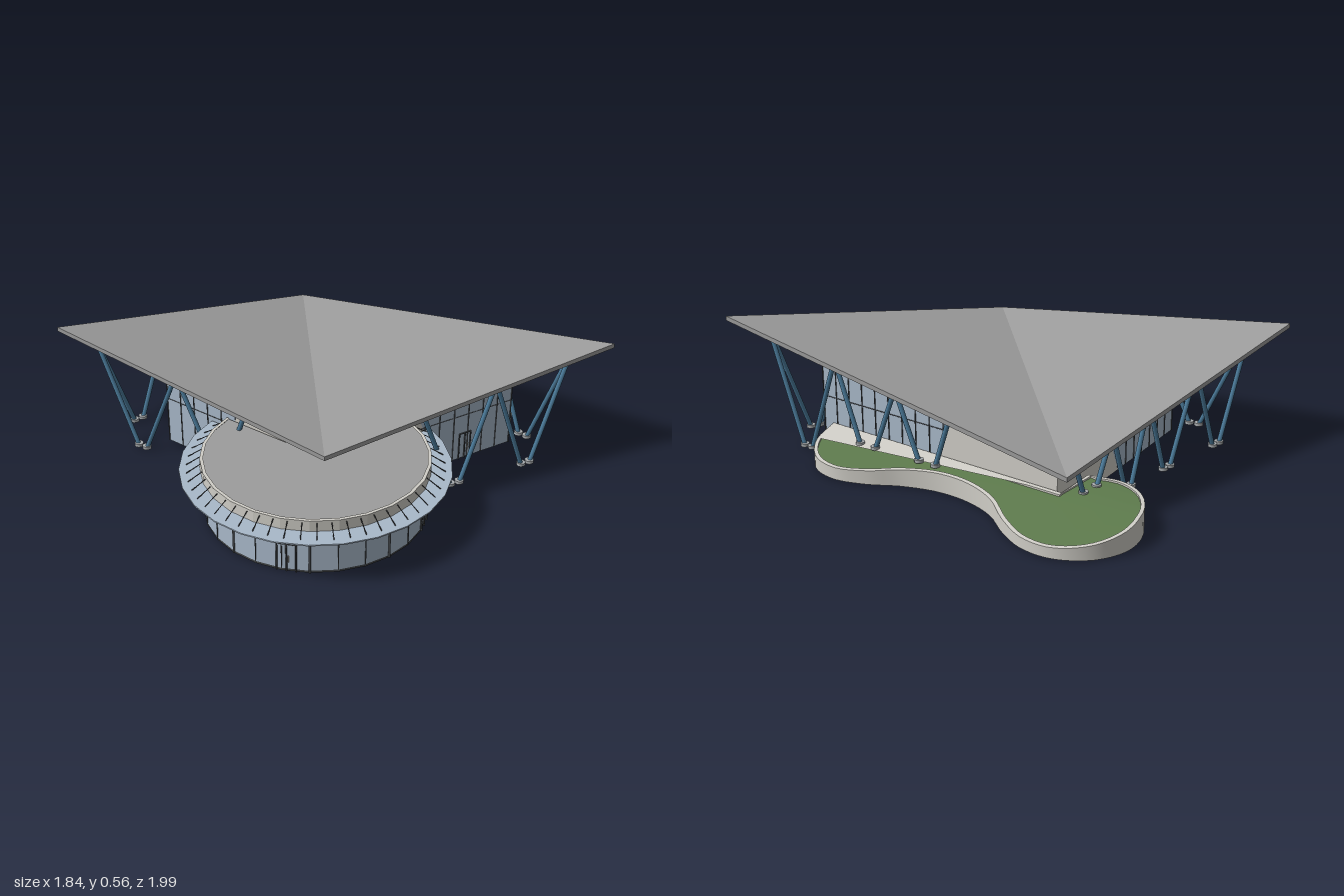
import * as THREE from 'three';
import { toCreasedNormals } from 'three/addons/utils/BufferGeometryUtils.js';

const V = (x, y, z) => new THREE.Vector3(x, y, z);

export function createModel() {
  const model = new THREE.Group();
  const paint = (name, color) => Object.assign(new THREE.MeshStandardMaterial({ color }), { name });
  const roofGrey = paint('roof grey', 0x9d9d9d);
  const wallWhite = paint('wall off-white', 0xd0cec7);
  const glass = paint('glass blue', 0xa9b9ca);
  const steelBlue = paint('steel blue', 0x4c7c9c);
  const frameDark = paint('frame dark', 0x44474a);
  const grass = paint('grass green', 0x5d7a4c);
  const padGrey = paint('pad grey', 0xa9adb0);
  for (const m of [wallWhite, glass, grass]) m.side = THREE.DoubleSide;

  const add = (name, geo, mat, parent = model) => {
    const mesh = new THREE.Mesh(geo, mat);
    mesh.name = name;
    parent.add(mesh);
    return mesh;
  };
  const group = (name) => {
    const g = new THREE.Group();
    g.name = name;
    model.add(g);
    return g;
  };
  // Straight rod from p to q
  const bar = (name, p, q, r, mat, parent, sides = 4) => {
    const d = q.clone().sub(p);
    const mesh = add(name, new THREE.CylinderGeometry(r, r, d.length(), sides), mat, parent);
    mesh.position.copy(p).addScaledVector(d, 0.5);
    mesh.quaternion.setFromUnitVectors(V(0, 1, 0), d.normalize());
    return mesh;
  };
  const polygons = (...faces) => {
    const pos = [];
    for (const f of faces)
      for (let i = 1; i < f.length - 1; i++) for (const p of [f[0], f[i], f[i + 1]]) pos.push(p.x, p.y, p.z);
    const g = new THREE.BufferGeometry();
    g.setAttribute('position', new THREE.Float32BufferAttribute(pos, 3));
    g.computeVertexNormals();
    return g;
  };

  // Folded roof: two triangles meeting on a valley from D to B
  const A = V(-0.64, 0.525, -0.98), B = V(0.74, 0.25, -0.75), C = V(0.79, 0.56, 0.995), D = V(-0.48, 0.37, 0.45);
  const thick = 0.02;
  const low = (p) => p.clone().setY(p.y - thick);
  const rim = [A, D, C, B];
  add('roof', polygons([D, C, B], [D, B, A], [low(D), low(B), low(C)], [low(D), low(A), low(B)],
    ...rim.map((p, i) => { const q = rim[(i + 1) % 4]; return [p, low(p), low(q), q]; })), roofGrey);
  const underside = (x, z) => {
    const side = (B.x - D.x) * (z - D.z) - (B.z - D.z) * (x - D.x);
    const n = (side > 0 ? C : A).clone().sub(D).cross(B.clone().sub(D));
    return D.y - (n.x * (x - D.x) + n.z * (z - D.z)) / n.y - thick;
  };

  // Hall: each wall is solid at one corner and glazed at the other, split on a slant
  const hall = group('hall');
  const hA = V(-0.4, 0, -0.55), hB = V(0.6, 0, -0.612), hC = V(0.6, 0, 0.62), hD = V(-0.34, 0, 0.313);
  const walls = [[hD, hC, 0.6, 0.45], [hB, hC, 0.53, 0.4], [hD, hA, 0.72, 0.45], [hB, hA, 0.5, 0.35]];
  for (const [solid, glazed, fb, ft] of walls) {
    const at = (t, y = 0) => solid.clone().lerp(glazed, t).setY(y);
    const top = (t) => { const p = at(t); return p.setY(underside(p.x, p.z)); };
    add('solidWall', polygons([at(0), at(fb), top(ft), top(0)]), wallWhite, hall);
    add('glassWall', polygons([at(fb), at(1), top(1), top(ft)]), glass, hall);
    const panes = Math.round(solid.distanceTo(glazed) * (1 - ft) / 0.075);
    for (let i = 1; i <= panes; i++) {
      const t = ft + (1 - ft) * i / panes;
      const slantY = Math.max(0, (fb - t) / (fb - ft)) * top(t).y;
      bar('mullion', at(t, slantY), top(t), 0.0035, frameDark, hall);
    }
    bar('transom', at(ft + (fb - ft) * 0.4, 0.22), at(1, 0.22), 0.002, frameDark, hall);
  }

  // Framed door with a pale handle; angle turns it about y
  const door = (x, z, angle, w) => {
    const g = group('door');
    const h = 0.13;
    for (const s of [-w / 2, 0, w / 2]) bar('doorPost', V(s, 0, 0), V(s, h, 0), 0.004, frameDark, g);
    bar('doorHead', V(-w / 2, h, 0), V(w / 2, h, 0), 0.004, frameDark, g);
    bar('doorHandle', V(0.01, 0.05, 0.008), V(0.01, 0.08, 0.008), 0.003, wallWhite, g);
    g.position.set(x, 0, z);
    g.rotation.y = angle;
  };
  door(0.36, 0.547, -0.316, 0.06);

  // Round pavilion: a sector wrapped around the hall's front left corner
  const pavilion = group('pavilion');
  pavilion.position.set(-0.35, 0, 0.29);
  const start = -3.07, sweep = 4.335, segs = 18;
  const drum = (name, r, y0, y1, open, mat, rTop = r) => {
    const g = new THREE.CylinderGeometry(rTop, r, y1 - y0, segs, 1, open, start, sweep).toNonIndexed();
    g.computeVertexNormals();
    add(name, g, mat, pavilion).position.y = (y0 + y1) / 2;
  };
  drum('pavilionGlass', 0.47, 0, 0.2, true, glass);
  drum('pavilionSill', 0.473, 0, 0.01, true, frameDark);
  drum('pavilionHeadFrame', 0.473, 0.188, 0.2, true, frameDark);
  drum('glassCanopy', 0.57, 0.2, 0.206, false, glass);
  drum('fascia', 0.482, 0.206, 0.255, true, wallWhite);
  drum('pavilionRoof', 0.472, 0.235, 0.25, false, roofGrey);
  const fasciaCap = new THREE.RingGeometry(0.468, 0.482, segs, 1, start - Math.PI / 2, sweep);
  fasciaCap.rotateX(-Math.PI / 2);
  add('fasciaCap', fasciaCap, wallWhite, pavilion).position.y = 0.255;
  const polar = (r, a, y) => V(r * Math.sin(a), y, r * Math.cos(a));
  for (let i = 0; i <= segs; i++) {
    const a = start + sweep * i / segs;
    bar('pavilionMullion', polar(0.472, a, 0), polar(0.472, a, 0.2), i % 3 ? 0.003 : 0.006, frameDark, pavilion);
  }
  for (let i = 0; i < segs * 2; i++) {
    const a = start + sweep * (i + 0.5) / (segs * 2);
    bar('canopyRod', polar(0.48, a, 0.245), polar(0.54, a, 0.206), 0.0022, frameDark, pavilion);
  }
  for (const a of [0.39, -1.1]) door(-0.35 + 0.473 * Math.sin(a), 0.29 + 0.473 * Math.cos(a), a, 0.08);

  // Raised garden: a curving bed that falls away from the hall
  const garden = group('garden');
  const bedTop = (x) => Math.min(0.105, 0.105 - 0.19 * (x - 0.6));
  const edge = new THREE.CatmullRomCurve3([
    [0.605, 0.565], [0.74, 0.54], [0.84, 0.45], [0.87, 0.32], [0.83, 0.18], [0.76, 0.05], [0.715, -0.1],
    [0.715, -0.25], [0.76, -0.4], [0.85, -0.53], [0.91, -0.66], [0.91, -0.8], [0.83, -0.93], [0.7, -0.995],
    [0.56, -0.98], [0.43, -0.89], [0.38, -0.77], [0.41, -0.63],
  ].map(([x, z]) => V(x, 0, z)));
  const rimPoints = edge.getPoints(72).map((p) => new THREE.Vector2(p.x, -p.z));
  rimPoints.push(new THREE.Vector2(0.605, 0.635));
  const inset = rimPoints.map((p, i) => {
    const n = rimPoints.length;
    const d = rimPoints[(i + 1) % n].clone().sub(rimPoints[(i + n - 1) % n]).normalize();
    return new THREE.Vector2(p.x - d.y * 0.016, p.y + d.x * 0.016);
  });
  const curbShape = new THREE.Shape(rimPoints);
  curbShape.holes.push(new THREE.Path(inset));
  const shapeY = (geo, rule) => {
    geo.rotateX(-Math.PI / 2);
    const p = geo.attributes.position;
    for (let i = 0; i < p.count; i++) p.setY(i, rule(p.getX(i), p.getY(i)));
    return geo;
  };
  const curb = new THREE.ExtrudeGeometry(curbShape, { depth: 1, bevelEnabled: false });
  add('gardenCurb', toCreasedNormals(shapeY(curb, (x, y) => (y > 0.5 ? bedTop(x) : 0)), 0.6), wallWhite, garden);
  const lawn = shapeY(new THREE.ShapeGeometry(new THREE.Shape(rimPoints)), (x) => bedTop(x) - 0.008);
  lawn.computeVertexNormals();
  add('lawn', lawn, grass, garden);

  // Zigzag columns: rows alternate head, foot, head; each entry is x, z, base height
  const columns = group('columns');
  const rows = [
    [[0, 0.57], [0.165, 0.64, 0], [0.33, 0.71], [0.5, 0.78, 0], [0.68, 0.85]],
    [[0.68, 0.85], [0.69, 0.64, 0], [0.68, 0.47], [0.68, 0.3, 0.085], [0.68, 0.14], [0.67, -0.015, 0.085], [0.67, -0.14]],
    [[-0.55, -0.83], [-0.37, -0.79, 0], [-0.2, -0.77], [-0.03, -0.74, 0], [0.1, -0.72], [0.23, -0.71, 0],
      [0.36, -0.71], [0.5, -0.7, 0.09], [0.6, -0.69]],
    [[-0.55, -0.83], [-0.52, -0.6, 0], [-0.48, -0.4], [-0.43, -0.2, 0], [-0.41, -0.04]],
  ];
  for (const row of rows) {
    for (let i = 0; i < row.length - 1; i++) {
      const [head, foot] = i % 2 ? [row[i + 1], row[i]] : [row[i], row[i + 1]];
      const h = V(head[0], underside(head[0], head[1]), head[1]);
      const f = V(foot[0], foot[2], foot[1]);
      const gap = h.clone().sub(f).setY(0).normalize().multiplyScalar(foot[2] ? 0.042 : 0.022);
      f.add(gap);
      bar('column', f, h, 0.0105, steelBlue, columns, 10);
      bar('basePad', f, f.clone().setY(f.y + 0.014), 0.02, padGrey, columns, 12);
      bar('headCap', h.clone().setY(h.y - 0.016), h, 0.022, steelBlue, columns, 12);
    }
  }
  return model;
}
